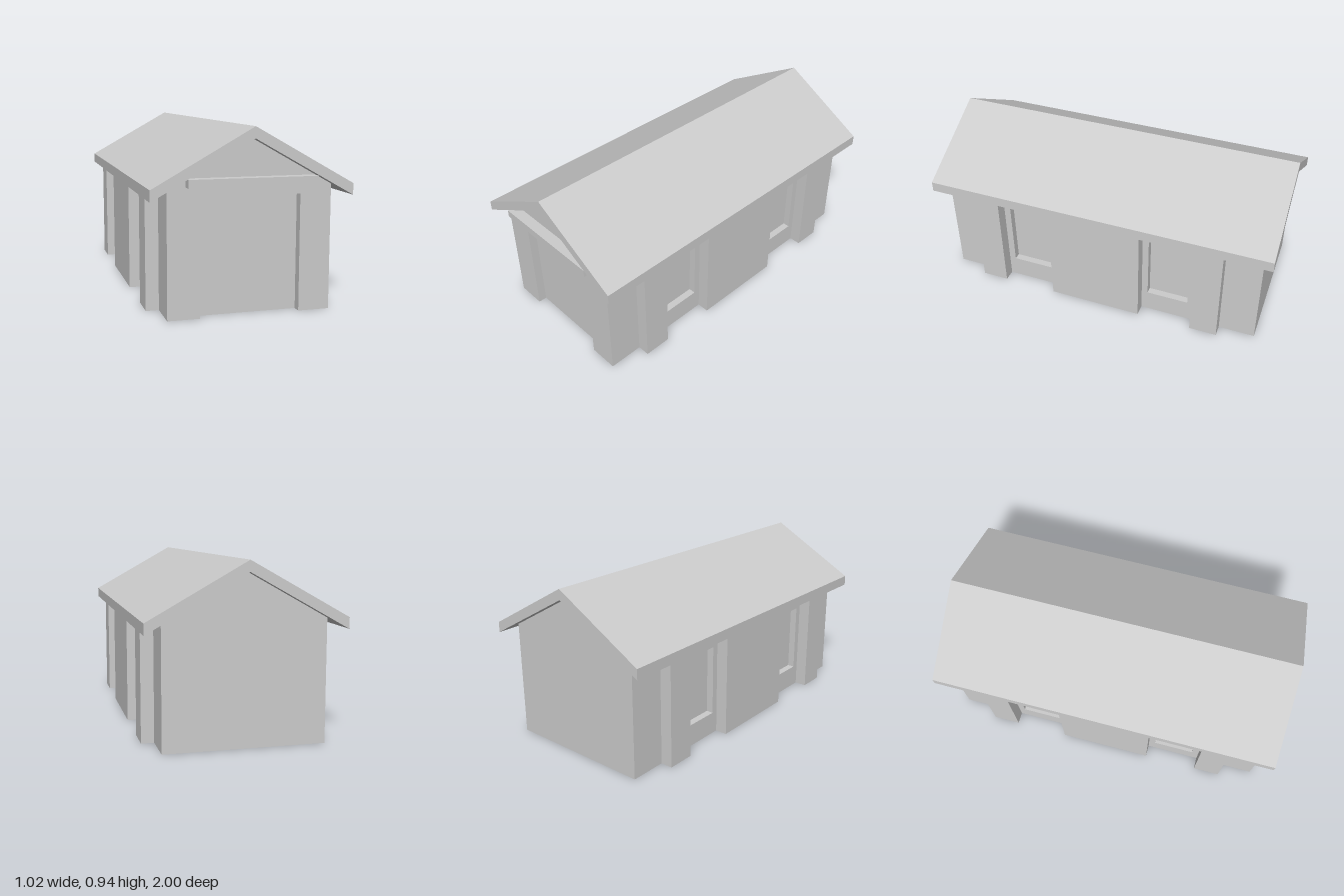
import * as THREE from 'three';

const mat = new THREE.MeshStandardMaterial({ color: 0xcccccc, side: THREE.DoubleSide });
const HALF_W = 0.42, PIER_X = 0.488, WALL_Z = 0.94;
const EAVE_X = 0.512, EAVE_Y = 0.59, RIDGE_Y = 0.877, ROOF_T = 0.058;

// height of the roof underside at distance x from the centre
const under = (x) => RIDGE_Y - (RIDGE_Y - EAVE_Y) * Math.abs(x) / EAVE_X;

function add(parent, name, geometry) {
  const mesh = new THREE.Mesh(geometry, mat);
  mesh.name = name;
  parent.add(mesh);
  return mesh;
}

const polygon = (pts) => new THREE.Shape(pts.map(([x, y]) => new THREE.Vector2(x, y)));
const rect = (x0, x1, y0, y1) => [[x0, y0], [x1, y0], [x1, y1], [x0, y1]];

// flat four-cornered sheet
function quad(a, b, c, d) {
  const g = new THREE.BufferGeometry();
  g.setAttribute('position', new THREE.Float32BufferAttribute([...a, ...b, ...c, ...d], 3));
  g.setIndex([0, 1, 2, 0, 2, 3]);
  g.computeVertexNormals();
  return g;
}

// reveals and back panel of an opening sunk into the plane z
function addRecess(parent, name, x0, x1, y0, y1, z, depth, hasSill) {
  const group = new THREE.Group();
  group.name = name;
  const back = z - depth;
  const corners = rect(x0, x1, y0, y1);
  corners.forEach(([ax, ay], i) => {
    if (i === 0 && !hasSill) return;
    const [bx, by] = corners[(i + 1) % 4];
    add(group, 'reveal', quad([ax, ay, z], [bx, by, z], [bx, by, back], [ax, ay, back]));
  });
  add(group, 'panel', new THREE.ShapeGeometry(polygon(corners))).position.z = back;
  parent.add(group);
}

// long wall with projecting piers and recessed windows; s = 1 left, -1 right
function sideWall(s) {
  const wall = new THREE.Group();
  wall.name = s > 0 ? 'leftWall' : 'rightWall';
  wall.rotation.y = s * Math.PI / 2;
  const bounds = [WALL_Z, 0.747, 0.593, 0.278, -0.264, -0.578, -0.735, -WALL_Z];
  const windows = { 2: [0.555, 0.315], 4: [-0.3, -0.54] };
  for (let i = 0; i < bounds.length - 1; i++) {
    const out = i % 2 ? PIER_X : HALF_W;
    const u0 = -s * bounds[i], u1 = -s * bounds[i + 1];
    const shape = polygon(rect(u0, u1, 0, under(out)));
    if (windows[i]) {
      const [w0, w1] = windows[i].map((z) => -s * z);
      shape.holes.push(new THREE.Path(rect(w0, w1, 0.125, 0.52).map((p) => new THREE.Vector2(...p))));
      addRecess(wall, 'window', w0, w1, 0.125, 0.52, out, 0.04, true);
    }
    add(wall, i % 2 ? 'pier' : 'wallPanel', new THREE.ShapeGeometry(shape)).position.z = out;
    // step between panel and pier
    if (i > 0) {
      add(wall, 'pierReturn', quad(
        [u0, 0, HALF_W], [u0, 0, PIER_X], [u0, under(PIER_X), PIER_X], [u0, under(HALF_W), HALF_W]));
    }
  }
  return wall;
}

export function createModel() {
  const model = new THREE.Group();
  model.name = 'gabledShed';

  for (const s of [1, -1]) model.add(sideWall(s));

  // gable walls, the front one with a sunken door
  const top = [[HALF_W, under(HALF_W)], [0, RIDGE_Y], [-HALF_W, under(HALF_W)]];
  const doorX = 0.257, doorY = 0.597;
  add(model, 'frontWall', new THREE.ShapeGeometry(polygon([
    [-HALF_W, 0], [-doorX, 0], [-doorX, doorY], [doorX, doorY], [doorX, 0], [HALF_W, 0], ...top,
  ]))).position.z = WALL_Z;
  addRecess(model, 'door', -doorX, doorX, 0, doorY, WALL_Z, 0.047, false);
  const backWall = add(model, 'backWall', new THREE.ShapeGeometry(polygon([[-HALF_W, 0], [HALF_W, 0], ...top])));
  backWall.position.z = -WALL_Z;
  backWall.rotation.y = Math.PI;

  // beam above the door
  add(model, 'doorBeam', new THREE.BoxGeometry(0.656, 0.042, 0.06)).position.set(0, 0.669, WALL_Z + 0.03);

  // pitched roof slab
  const roof = new THREE.ExtrudeGeometry(polygon([
    [-EAVE_X, EAVE_Y], [0, RIDGE_Y], [EAVE_X, EAVE_Y],
    [EAVE_X, EAVE_Y + ROOF_T], [0, RIDGE_Y + ROOF_T], [-EAVE_X, EAVE_Y + ROOF_T],
  ]), { depth: 2, bevelEnabled: false });
  add(model, 'roof', roof).position.z = -1;

  return model;
}
